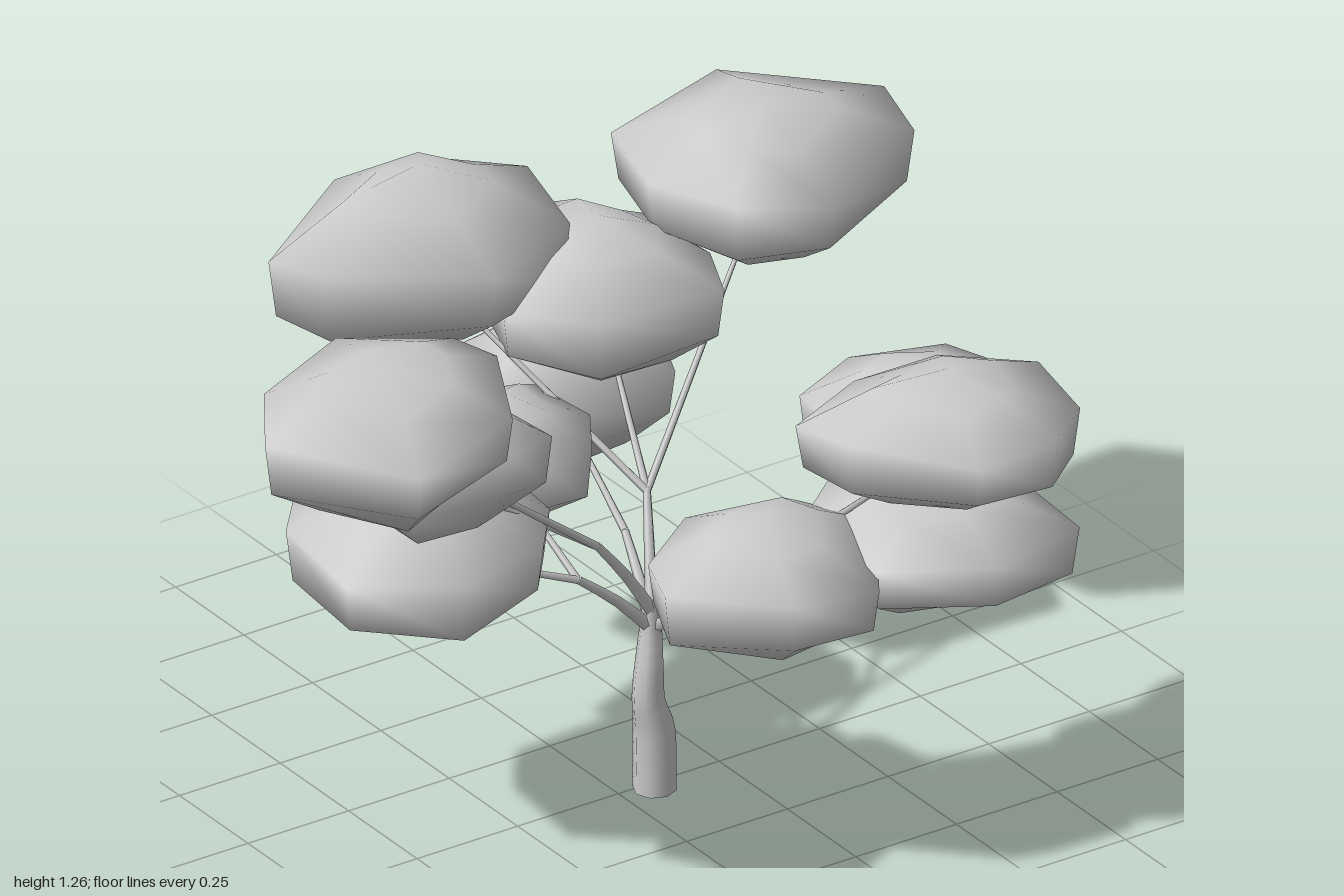
import * as THREE from 'three';

const material = new THREE.MeshStandardMaterial({ color: 0xcccccc });

// Middle of a rim outline given as [x, z] points
function rimCentre(rim) {
  const sum = rim.reduce((s, p) => [s[0] + p[0], s[1] + p[1]], [0, 0]);
  return [sum[0] / rim.length, sum[1] / rim.length];
}

// Low-poly leaf cushion: scaled copies of the rim outline between a top and a bottom point.
// rise is the height of the widest edge, from -1 (bottom) to 1 (top).
function padGeometry({ rim, low, high, rise = 0.25 }) {
  const n = rim.length;
  const [cx, cz] = rimCentre(rim);
  const mid = (low + high) / 2, half = (high - low) / 2;
  const rings = [[0.5, 0.55 + rise * 0.6], [1, rise], [0.95, rise - 0.75], [0.58, -0.88]];
  const pos = [cx, high, cz];
  const index = [];
  rings.forEach(([r, h], j) => rim.forEach(([x, z], i) => {
    const wobble = 0.07 * Math.sin(i * 2.3 + j * 1.7 + cx * 9);
    const y = mid + half * THREE.MathUtils.clamp(h + wobble, -1, 1);
    pos.push(cx + (x - cx) * r, y, cz + (z - cz) * r);
  }));
  pos.push(cx, low, cz);
  const last = 1 + rings.length * n;
  for (let i = 0; i < n; i++) {
    const k = (i + 1) % n;
    index.push(0, 1 + k, 1 + i);
    for (let j = 0; j < rings.length - 1; j++) {
      const t = 1 + j * n, u = t + n;
      index.push(t + i, t + k, u + i, t + k, u + k, u + i);
    }
    index.push(last - n + i, last - n + k, last);
  }
  const g = new THREE.BufferGeometry();
  g.setAttribute('position', new THREE.Float32BufferAttribute(pos, 3));
  g.setIndex(index);
  g.computeVertexNormals();
  return g;
}

// Tapering limb through points given as [x, y, z, radius]
function limbGeometry(points, sides, steps) {
  const curve = new THREE.CatmullRomCurve3(points.map(p => new THREE.Vector3(p[0], p[1], p[2])));
  const g = new THREE.TubeGeometry(curve, steps, 1, sides, false);
  const pos = g.attributes.position;
  const v = new THREE.Vector3();
  for (let i = 0; i <= steps; i++) {
    const c = curve.getPointAt(i / steps);
    const t = curve.getUtoTmapping(i / steps) * (points.length - 1);
    const k = Math.min(Math.floor(t), points.length - 2);
    const r = THREE.MathUtils.lerp(points[k][3], points[k + 1][3], t - k);
    for (let j = 0; j <= sides; j++) {
      const id = i * (sides + 1) + j;
      v.fromBufferAttribute(pos, id).sub(c).multiplyScalar(r).add(c);
      pos.setXYZ(id, v.x, v.y, v.z);
    }
  }
  return g;
}

// Forks where the main limbs split into branches
const forks = {
  front: [0.17, 0.54, 0.2],
  backUpper: [0.16, 0.6, -0.13],
  backLower: [0.14, 0.49, -0.18],
  rightUpper: [-0.08, 0.62, 0.04],
  rightLower: [-0.1, 0.53, 0],
};

// Foliage cushions of the upper tier
const upperPads = [
  { name: 'backUpperPad', fork: 'backUpper', low: 0.84, high: 1.2,
    rim: [[0.25, -0.7], [0.2, -0.47], [-0.06, -0.36], [-0.37, -0.53], [-0.4, -0.69], [-0.1, -0.89], [0.09, -0.87]] },
  { name: 'leftUpperPad', fork: 'backUpper', low: 0.92, high: 1.22, rise: 0.3,
    rim: [[1, -0.5], [0.96, -0.33], [0.63, -0.14], [0.45, -0.23], [0.38, -0.45], [0.43, -0.66], [0.76, -0.76]] },
  { name: 'rightUpperPad', fork: 'rightUpper', low: 0.98, high: 1.26, rise: 0.5,
    rim: [[-0.39, 0.13], [-0.5, 0.35], [-0.82, 0.48], [-1, 0.18], [-0.86, -0.03], [-0.62, -0.12], [-0.41, 0]] },
  { name: 'frontUpperPad', fork: 'front', low: 0.89, high: 1.16,
    rim: [[0.67, 0.55], [0.61, 0.79], [0.5, 0.87], [0.3, 0.88], [0.12, 0.66], [0.1, 0.5], [0.3, 0.42], [0.5, 0.43]] },
];
// Middle and lower tiers
const lowerPads = [
  { name: 'rightMiddlePad', fork: 'rightUpper', low: 0.79, high: 1.07, rise: 0.5,
    rim: [[-0.28, 0.17], [-0.4, 0.2], [-0.63, 0.16], [-0.67, -0.1], [-0.56, -0.24], [-0.32, -0.1]] },
  { name: 'backMiddlePad', fork: 'backUpper', low: 0.74, high: 1.05, rise: 0.3,
    rim: [[0.5, -0.4], [0.42, -0.23], [0.12, -0.24], [0, -0.42], [0.1, -0.7], [0.35, -0.75], [0.48, -0.62]] },
  { name: 'frontMiddlePad', fork: 'front', low: 0.77, high: 1.04, rise: 0.35,
    rim: [[0.73, 0.42], [0.66, 0.58], [0.4, 0.66], [0.25, 0.5], [0.28, 0.25], [0.47, 0.15], [0.65, 0.24]] },
  { name: 'rightLowerPad', fork: 'rightLower', low: 0.54, high: 0.85, rise: 0.2,
    rim: [[-0.17, 0], [-0.28, 0.14], [-0.52, 0.21], [-0.71, 0.05], [-0.69, -0.2], [-0.58, -0.33], [-0.3, -0.35], [-0.17, -0.2]] },
  { name: 'innerLowerPad', fork: 'rightLower', low: 0.56, high: 0.84,
    rim: [[0.1, -0.25], [0.03, -0.14], [-0.1, -0.12], [-0.3, -0.2], [-0.38, -0.38], [-0.1, -0.5], [0.08, -0.42]] },
  { name: 'backLowerPad', fork: 'backLower', low: 0.5, high: 0.79, rise: 0.35,
    rim: [[0.5, -0.6], [0.4, -0.38], [0.05, -0.36], [-0.03, -0.5], [0.1, -0.72], [0.35, -0.77]] },
  { name: 'frontInnerPad', fork: 'front', low: 0.54, high: 0.82,
    rim: [[0.35, 0.42], [0.2, 0.66], [0, 0.65], [-0.19, 0.45], [-0.13, 0.3], [0.03, 0.2], [0.28, 0.25]] },
  { name: 'frontOuterPad', fork: 'front', low: 0.56, high: 0.82,
    rim: [[0.7, 0.42], [0.67, 0.7], [0.45, 0.73], [0.22, 0.62], [0.22, 0.35], [0.38, 0.21], [0.6, 0.24]] },
];

export function createModel() {
  const tree = new THREE.Group();
  tree.name = 'tree';
  const foliage = new THREE.Group();
  foliage.name = 'foliage';
  const branches = new THREE.Group();
  branches.name = 'branches';
  tree.add(foliage, branches);
  const add = (geometry, name, parent) => {
    const mesh = new THREE.Mesh(geometry, material);
    mesh.name = name;
    parent.add(mesh);
    return mesh;
  };

  // Trunk: thick foot, slight bend, slim neck
  add(limbGeometry([
    [0.075, 0, 0.022, 0.046], [0.075, 0.09, 0.022, 0.046], [0.073, 0.15, 0.022, 0.045],
    [0.063, 0.21, 0.017, 0.035], [0.068, 0.28, 0.012, 0.031], [0.081, 0.36, -0.001, 0.024],
    [0.087, 0.43, -0.004, 0.019],
  ], 8, 16), 'trunk', tree);
  const foot = add(new THREE.CircleGeometry(0.046, 8), 'trunkBase', tree);
  foot.rotation.x = Math.PI / 2;
  foot.position.set(0.075, 0.001, 0.022);

  // Main limbs from the trunk neck to each fork
  Object.values(forks).forEach(([x, y, z]) => {
    const start = [0.084, y < 0.58 ? 0.36 : 0.4, 0];
    const middle = [(start[0] + x) / 2, (start[1] + y) / 2 + 0.01, z / 2];
    add(limbGeometry([[...start, 0.015], [...middle, 0.012], [x, y, z, 0.009]], 5, 4), 'limb', branches);
  });

  [...upperPads, ...lowerPads].forEach(pad => {
    add(padGeometry(pad), pad.name, foliage);
    // Branch from its fork into the cushion
    const [cx, cz] = rimCentre(pad.rim);
    const end = [cx, pad.low + (pad.high - pad.low) * 0.35, cz];
    const start = forks[pad.fork];
    const middle = start.map((s, k) => (s + end[k]) / 2);
    add(limbGeometry([[...start, 0.009], [...middle, 0.007], [...end, 0.004]], 5, 4), 'branch', branches);
  });
  return tree;
}
